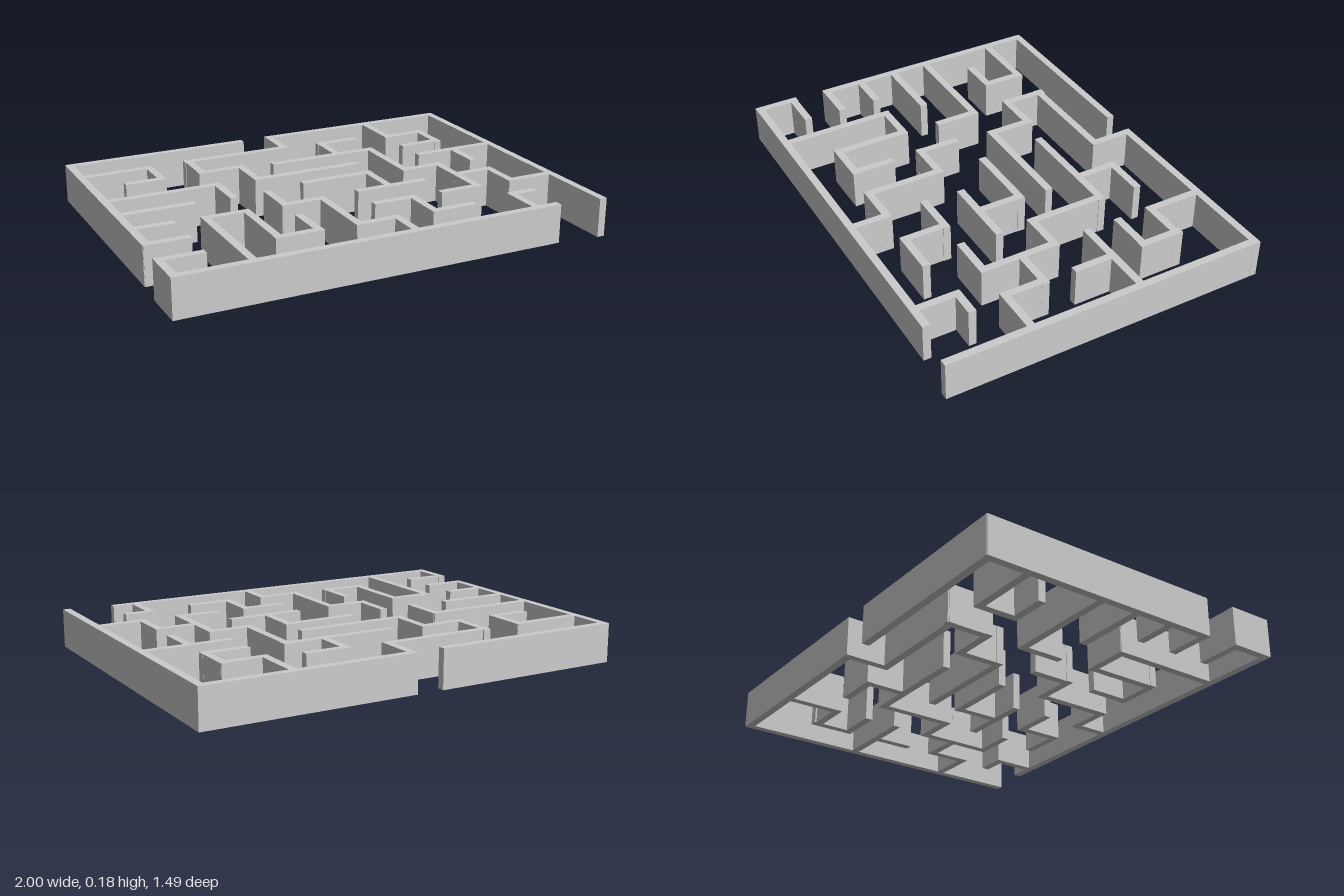
import * as THREE from 'three';

const HEIGHT = 0.177, THICK = 0.035;
const material = new THREE.MeshStandardMaterial({ color: 0xcccccc });

// Walls running along x: [z, xStart, xEnd]
const outerAcross = [[-0.73, -0.99, -0.10], [-0.73, 0.025, 0.997], [0.705, -1, 0.77]];
const innerAcross = [
  // stubs off the left wall
  [-0.54, -0.99, -0.635], [-0.18, -0.99, -0.44], [0, -0.99, -0.63],
  [0.18, -0.99, -0.785], [0.36, -0.99, -0.785], [0.535, -1, -0.79],
  // back half
  [-0.365, -0.825, -0.635], [-0.545, -0.475, 0.06], [-0.365, -0.475, -0.245],
  [-0.17, -0.28, 0.25], [-0.52, 0.21, 0.425], [-0.335, -0.115, 0.425],
  [-0.48, 0.565, 0.785], [-0.315, 0.57, 0.785], [-0.16, 0.57, 0.99],
  // front half
  [0.19, -0.67, -0.455], [0.52, -0.49, -0.27], [0.19, -0.31, -0.095],
  [0.535, -0.13, 0.085], [-0.03, -0.105, 0.25], [0.175, 0.065, 0.415],
  [0.35, 0.055, 0.27], [0.54, 0.235, 0.45], [0.35, 0.39, 0.6],
  [0.01, 0.39, 0.6], [0.17, 0.565, 0.78], [0.35, 0.745, 0.99], [0.51, 0.645, 0.785],
];

// Walls running along z: [x, zStart, zEnd]
const outerAlong = [[-0.975, -0.745, 0.375], [-0.983, 0.515, 0.723], [0.979, -0.745, 0.743]];
const innerAlong = [
  // back half
  [-0.65, -0.555, -0.35], [-0.455, -0.57, -0.35], [-0.262, -0.38, -0.153],
  [0.043, -0.745, -0.53], [0.23, -0.535, -0.32], [0.405, -0.35, 0.028],
  [0.583, -0.745, -0.465], [0.767, -0.505, -0.295], [0.767, -0.175, -0.03 + 0.06],
  [-0.455, -0.19, -0.02 + 0.04],
  // front half
  [-0.29, 0, 0.208], [-0.29, 0.33, 0.537], [-0.655, 0.175, 0.72],
  [-0.47, 0.175, 0.537], [-0.112, 0.175, 0.553], [0.067, 0.52, 0.72],
  [0.23, -0.045, 0.19], [0.25, 0.335, 0.555], [0.583, -0.005, 0.367],
  [0.762, 0.155, 0.365], [0.66, 0.495, 0.72],
];

function buildWalls(name, across, along) {
  const group = new THREE.Group();
  group.name = name;
  const add = (w, d, x, z) => {
    const wall = new THREE.Mesh(new THREE.BoxGeometry(w, HEIGHT, d), material);
    wall.name = name + 'Segment';
    wall.position.set(x, HEIGHT / 2, z);
    group.add(wall);
  };
  for (const [z, a, b] of across) add(b - a, THICK, (a + b) / 2, z);
  for (const [x, a, b] of along) add(THICK, b - a, x, (a + b) / 2);
  return group;
}

export function createModel() {
  const maze = new THREE.Group();
  maze.name = 'maze';
  maze.add(buildWalls('outerWall', outerAcross, outerAlong));
  maze.add(buildWalls('innerWall', innerAcross, innerAlong));
  return maze;
}
